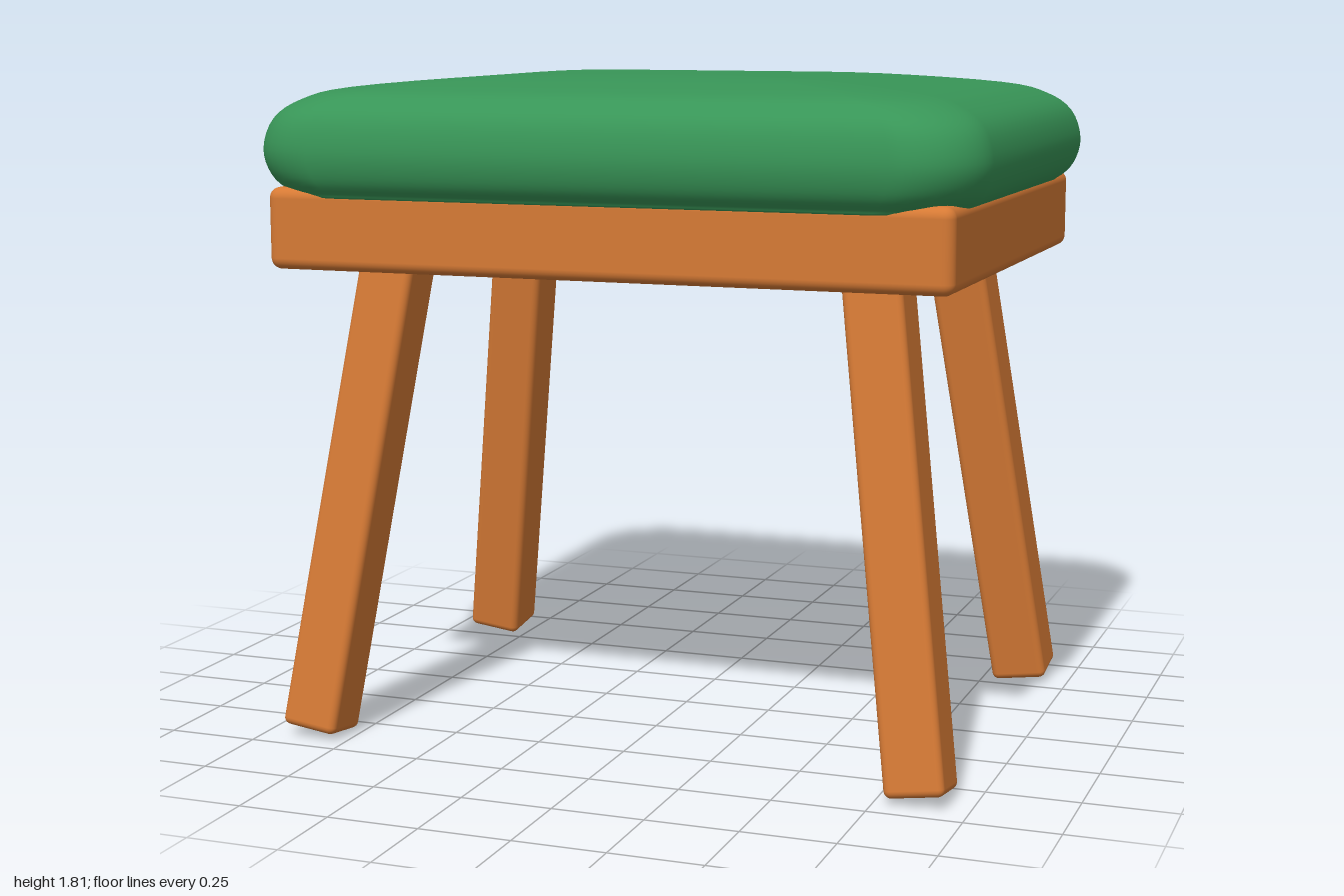
import * as THREE from 'three';
import { RoundedBoxGeometry } from 'three/addons/geometries/RoundedBoxGeometry.js';

const wood = new THREE.MeshStandardMaterial({ color: 0xd67a35 });
wood.name = 'orange wood';
const fabric = new THREE.MeshStandardMaterial({ color: 0x389557 });
fabric.name = 'green fabric';

// Outline of a rounded rectangle in plan, as [x, z] pairs
function roundedOutline(a, b, r, steps) {
  const points = [];
  [[1, 1], [-1, 1], [-1, -1], [1, -1]].forEach(([sx, sz], corner) => {
    for (let i = 0; i <= steps; i++) {
      const t = (corner + i / steps) * Math.PI / 2;
      points.push([sx * (a - r) + r * Math.cos(t), sz * (b - r) + r * Math.sin(t)]);
    }
  });
  return points;
}

// Domed pad: the outline is scaled and lifted along a side profile
function cushionGeometry() {
  const outline = roundedOutline(1, 0.755, 0.21, 10);
  const profile = new THREE.SplineCurve([
    [0, 1.49], [0.5, 1.49], [0.88, 1.49], [0.94, 1.507], [0.983, 1.55], [1, 1.62],
    [0.975, 1.7], [0.91, 1.75], [0.8, 1.78], [0.5, 1.806], [0.25, 1.813], [0, 1.815],
  ].map(([s, y]) => new THREE.Vector2(s, y))).getPoints(44);
  const n = outline.length;
  const positions = [];
  const index = [];
  profile.forEach((p, j) => {
    for (const [x, z] of outline) positions.push(x * p.x, p.y, z * p.x);
    if (j === 0) return;
    for (let i = 0; i < n; i++) {
      const a = (j - 1) * n + i;
      const b = (j - 1) * n + (i + 1) % n;
      index.push(a, a + n, b, b, a + n, b + n);
    }
  });
  const geometry = new THREE.BufferGeometry();
  geometry.setAttribute('position', new THREE.Float32BufferAttribute(positions, 3));
  geometry.setIndex(index);
  geometry.computeVertexNormals();
  return geometry;
}

export function createModel() {
  const group = new THREE.Group();
  group.name = 'stool';

  const cushion = new THREE.Mesh(cushionGeometry(), fabric);
  cushion.name = 'cushion';
  group.add(cushion);

  // Wooden frame under the cushion
  const frame = new THREE.Mesh(new RoundedBoxGeometry(1.88, 0.22, 1.4, 4, 0.03), wood);
  frame.name = 'seatFrame';
  frame.position.y = 1.41;
  group.add(frame);

  // Four splayed legs, mirrored into each corner
  const up = new THREE.Vector3(0, 1, 0);
  for (const sx of [-1, 1]) {
    for (const sz of [-1, 1]) {
      const foot = new THREE.Vector3(sx * 0.86, 0.017, sz * 0.618);
      const top = new THREE.Vector3(sx * 0.668, 1.4, sz * 0.426);
      const axis = top.clone().sub(foot);
      const leg = new THREE.Mesh(new RoundedBoxGeometry(0.16, axis.length(), 0.162, 3, 0.02), wood);
      leg.name = (sz > 0 ? 'front' : 'back') + (sx > 0 ? 'Left' : 'Right') + 'Leg';
      leg.position.copy(foot).add(top).multiplyScalar(0.5);
      leg.quaternion.setFromUnitVectors(up, axis.normalize());
      group.add(leg);
    }
  }
  return group;
}
